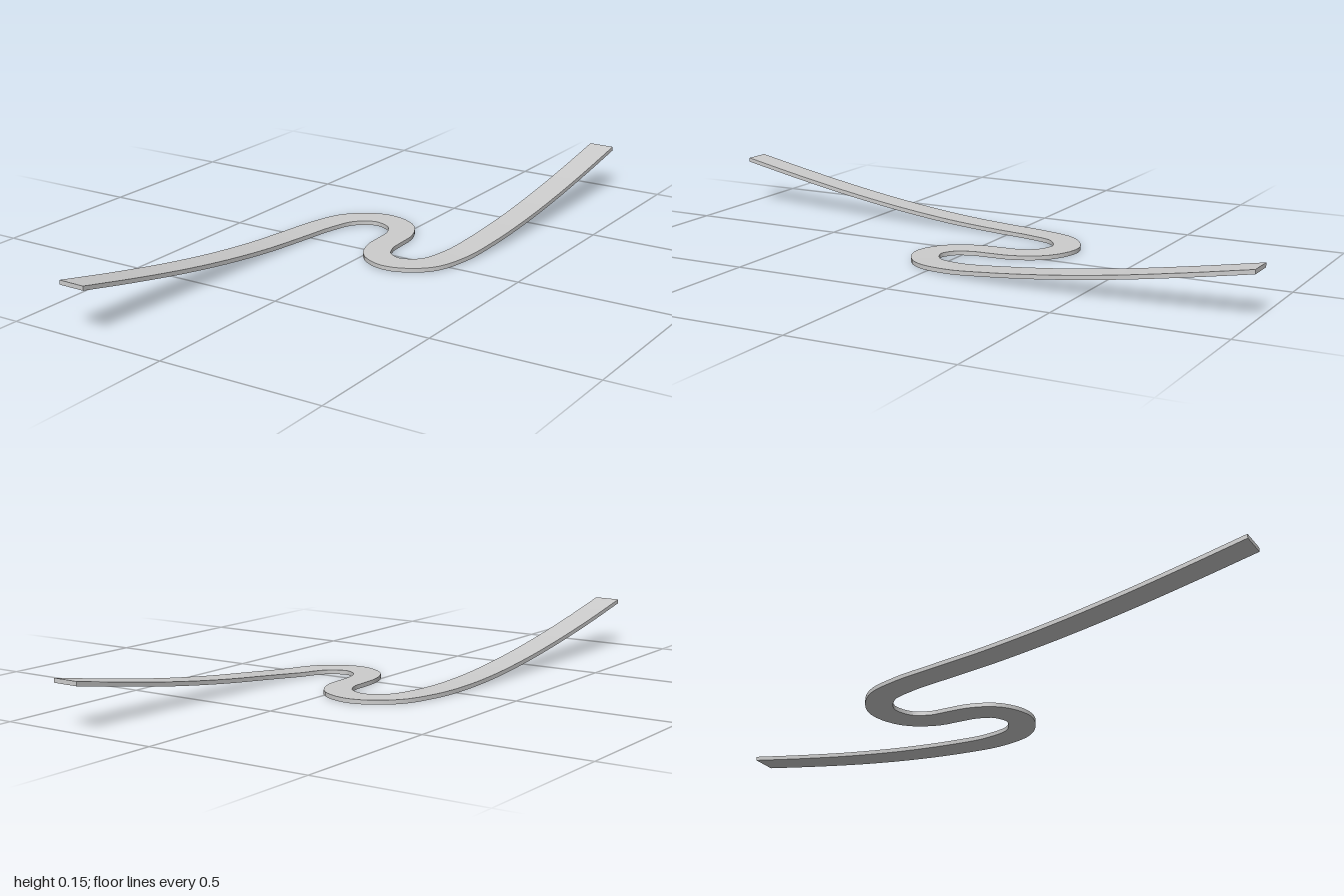
import * as THREE from 'three';

const WIDTH = 0.083, THICKNESS = 0.013, SEGMENTS = 160;

// Centre line of the underside, from the front end to the back end
const PATH = [
  [-0.29, 0.14, 1], [-0.287, 0.1, 0.8], [-0.283, 0.064, 0.6], [-0.279, 0.034, 0.4],
  [-0.274, 0.012, 0.2], [-0.266, 0.002, 0.03], [-0.249, 0, -0.1], [-0.212, 0, -0.2],
  [-0.125, 0, -0.252], [-0.036, 0, -0.222], [0.006, 0, -0.15], [0.012, 0, -0.085],
  [0.018, 0, -0.02], [0.05, 0, 0.047], [0.125, 0, 0.081], [0.212, 0, 0.035],
  [0.249, 0.003, -0.07], [0.266, 0.014, -0.2], [0.276, 0.034, -0.4],
  [0.281, 0.06, -0.6], [0.285, 0.092, -0.8], [0.288, 0.127, -1],
];

// Bend a long box so that its z axis follows the curve, with the strip kept level across
function bendAlong(curve) {
  const geometry = new THREE.BoxGeometry(1, 1, 1, 1, 1, SEGMENTS);
  const pos = geometry.attributes.position;
  const up = new THREE.Vector3(0, 1, 0);
  for (let i = 0; i < pos.count; i++) {
    const t = THREE.MathUtils.clamp(0.5 - pos.getZ(i), 0, 1);
    const point = curve.getPointAt(t);
    const back = curve.getTangentAt(t).negate().setY(0).normalize();
    const side = new THREE.Vector3().crossVectors(up, back);
    point.addScaledVector(side, pos.getX(i) * WIDTH);
    point.y += (pos.getY(i) + 0.5) * THICKNESS;
    pos.setXYZ(i, point.x, point.y, point.z);
  }
  geometry.computeVertexNormals();
  return geometry;
}

export function createModel() {
  const group = new THREE.Group();
  group.name = 'curvedStrip';

  // S-shaped flat strip with two rising arms
  const curve = new THREE.CatmullRomCurve3(PATH.map(p => new THREE.Vector3(...p)), false, 'centripetal');
  curve.arcLengthDivisions = 600;
  const strip = new THREE.Mesh(bendAlong(curve), new THREE.MeshStandardMaterial({ color: 0xcccccc }));
  strip.name = 'strip';
  group.add(strip);
  return group;
}
